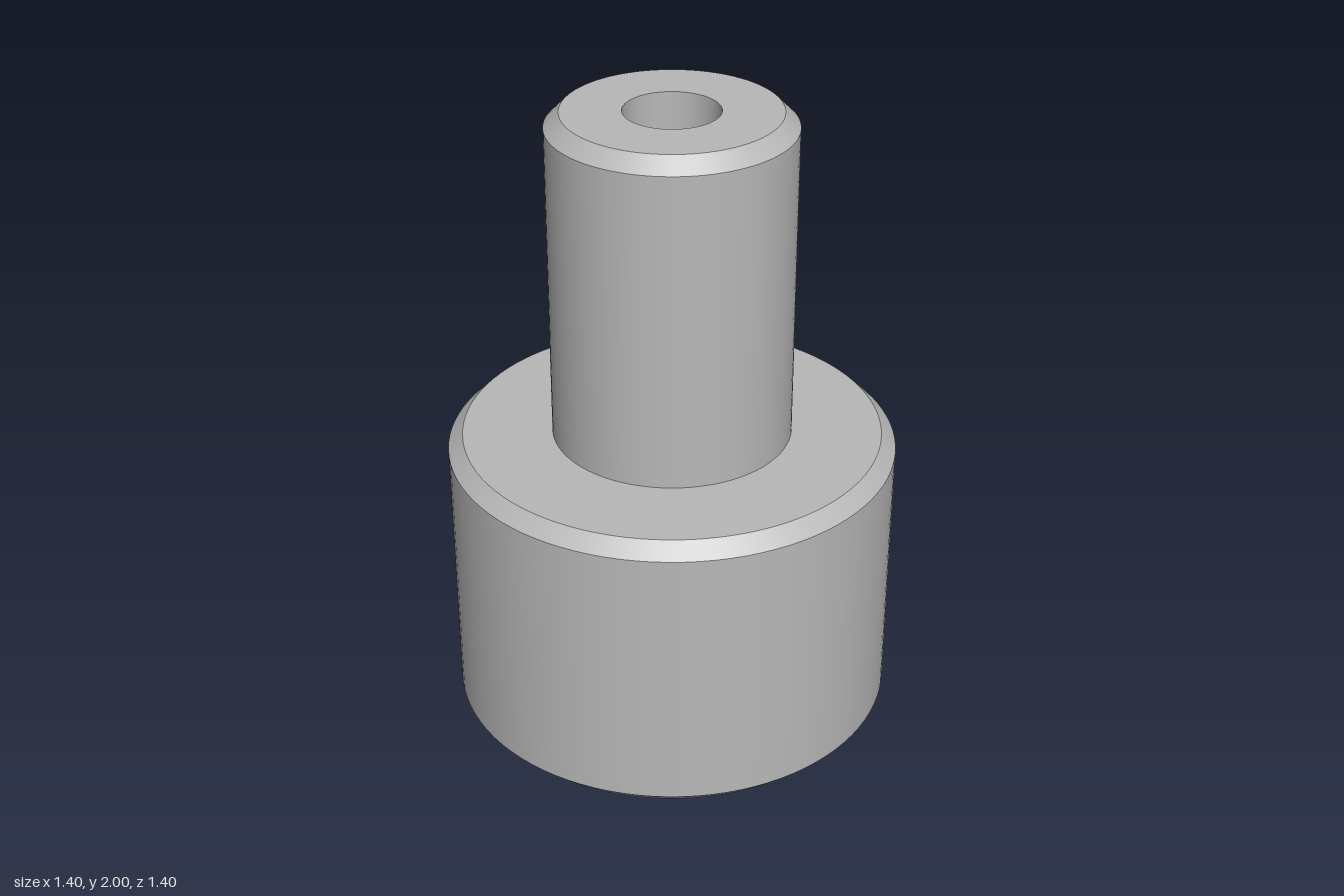
import * as THREE from 'three';
import { mergeGeometries } from 'three/addons/utils/BufferGeometryUtils.js';

const SEGMENTS = 96;

// Revolves each profile segment on its own, so edges between segments stay sharp.
function turned(name, profile, material) {
  const points = profile.map(([r, y]) => new THREE.Vector2(r, y));
  const bands = [];
  for (let i = 0; i < points.length - 1; i++) {
    bands.push(new THREE.LatheGeometry([points[i], points[i + 1]], SEGMENTS));
  }
  const mesh = new THREE.Mesh(mergeGeometries(bands), material);
  mesh.name = name;
  return mesh;
}

export function createModel() {
  const model = new THREE.Group();
  model.name = 'steppedBushing';
  const steel = new THREE.MeshStandardMaterial({ color: 0xb8b8b8 });
  steel.name = 'grey steel';

  const chamfer = 0.046;
  const baseR = 0.698, baseTop = 0.953;
  const shaftR = 0.373, top = 2;
  const boreR = 0.145, counterR = 0.205;

  // Wide base with both outer edges chamfered
  model.add(turned('base', [
    [counterR + chamfer, 0],
    [baseR - chamfer, 0],
    [baseR, chamfer],
    [baseR, baseTop - chamfer],
    [baseR - chamfer, baseTop],
    [shaftR, baseTop],
  ], steel));

  // Narrow shaft with a chamfered top edge
  model.add(turned('shaft', [
    [shaftR, baseTop],
    [shaftR, top - chamfer],
    [shaftR - chamfer, top],
    [boreR, top],
  ], steel));

  // Through bore, widening into a countersunk hole in the base
  model.add(turned('bore', [
    [boreR, top],
    [boreR, baseTop],
    [counterR, baseTop],
    [counterR, chamfer],
    [counterR + chamfer, 0],
  ], steel));

  return model;
}
